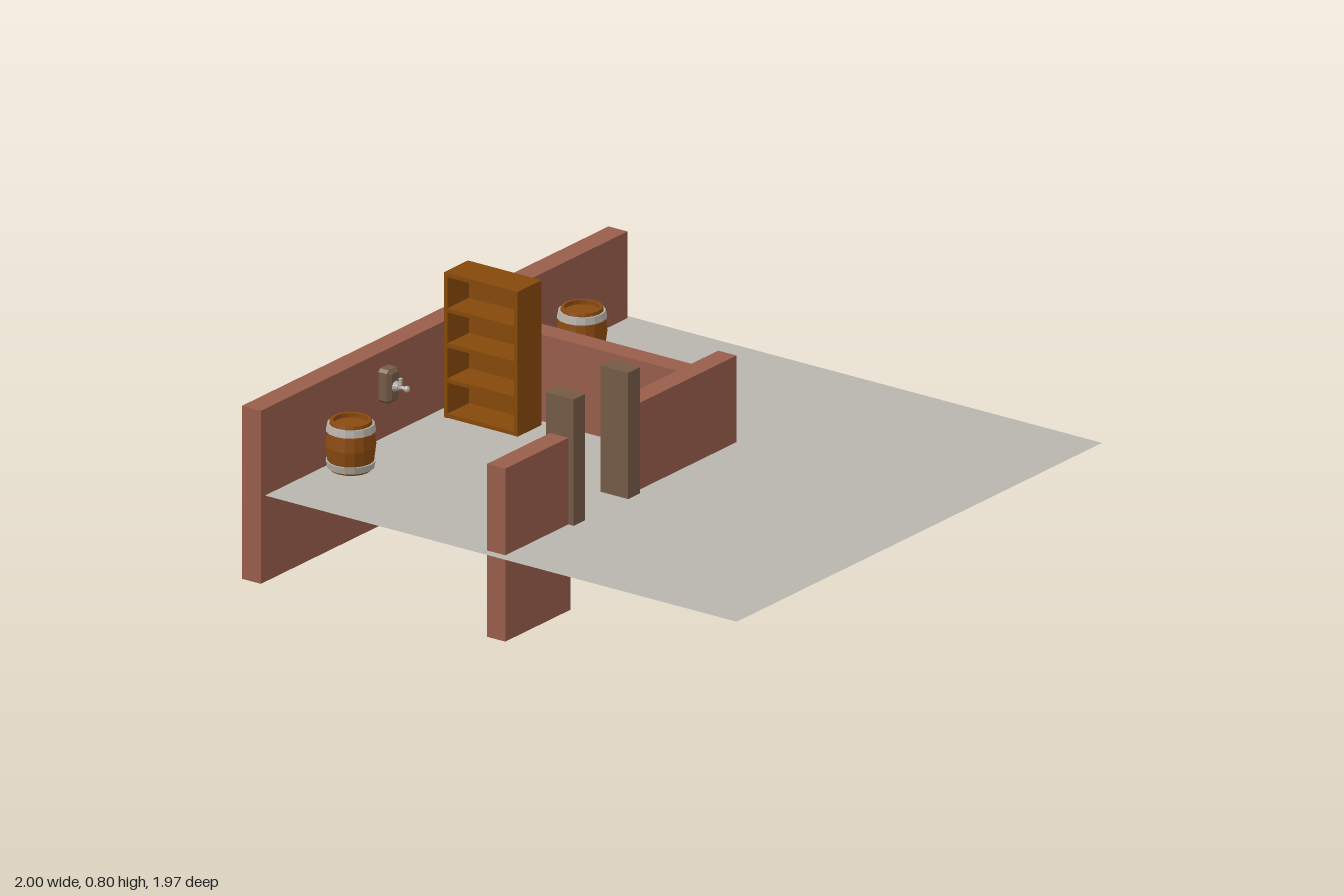
import * as THREE from 'three';

const mat = (name, color, extra = {}) => {
  const m = new THREE.MeshStandardMaterial({ color, flatShading: true, ...extra });
  m.name = name;
  return m;
};

export function createModel() {
  const brick = mat('brick', 0x985d4a);
  const ground = mat('ground', 0xb8b4ae, { side: THREE.DoubleSide });
  const timber = mat('timber', 0x745a46);
  const shelfWood = mat('shelfWood', 0x85490b);
  const barrelWood = mat('barrelWood', 0x8a4a10);
  const steel = mat('steel', 0xb4b0a8);
  const FLOOR = 0.298;

  const root = new THREE.Group();
  root.name = 'room';

  const add = (parent, name, geo, m, x = 0, y = 0, z = 0) => {
    const mesh = new THREE.Mesh(geo, m);
    mesh.name = name;
    mesh.position.set(x, y, z);
    parent.add(mesh);
    return mesh;
  };
  // Box given by its limits on each axis
  const box = (parent, name, m, [x0, x1], [y0, y1], [z0, z1]) =>
    add(parent, name, new THREE.BoxGeometry(x1 - x0, y1 - y0, z1 - z0), m,
      (x0 + x1) / 2, (y0 + y1) / 2, (z0 + z1) / 2);

  // Floor sheet
  const floor = add(root, 'floor', new THREE.PlaneGeometry(1.978, 1.974), ground, 0.011, FLOOR, 0);
  floor.rotation.x = -Math.PI / 2;

  // Walls, running through the floor
  const H = [0, 0.597];
  box(root, 'backWall', brick, [-1, 0.985], H, [-0.977, -0.901]);
  box(root, 'dividingWall', brick, [0.084, 0.161], H, [-0.901, -0.036]);
  box(root, 'frontWallRight', brick, [-0.946, -0.594], H, [-0.036, 0.037]);
  box(root, 'frontWallLeft', brick, [-0.289, 0.306], H, [-0.036, 0.037]);

  // Door posts
  for (const [x0, x1] of [[-0.604, -0.543], [-0.309, -0.246]])
    box(root, 'doorPost', timber, [x0, x1], [0.247, 0.734], [-0.053, 0.058]);

  // Bookcase, open towards -x
  const bookcase = new THREE.Group();
  bookcase.name = 'bookcase';
  root.add(bookcase);
  const X = [-0.075, 0.056], Y = [FLOOR, 0.798], Z = [-0.853, -0.558], T = 0.014;
  box(bookcase, 'backPanel', shelfWood, [X[1] - T, X[1]], Y, Z);
  for (const z of [Z[0], Z[1] - T])
    box(bookcase, 'sidePanel', shelfWood, [X[0], X[1] - T], Y, [z, z + T]);
  for (let i = 0; i < 5; i++) {
    const y = Y[0] + 0.001 + i * (Y[1] - Y[0] - T - 0.001) / 4;
    box(bookcase, 'shelf', shelfWood, [X[0], X[1] - T], [y, y + T], [Z[0] + T, Z[1] - T]);
  }

  // Barrels: bulging body with a recessed lid and two hoops
  const pts = (list) => list.map(([r, y]) => new THREE.Vector2(r, y));
  const bodyGeo = new THREE.LatheGeometry(pts([
    [0, 0.004], [0.068, 0.004], [0.077, 0.04], [0.083, 0.087], [0.077, 0.134],
    [0.068, 0.173], [0.058, 0.173], [0.058, 0.158], [0, 0.158]]), 16);
  const hoopGeo = (y0, y1, r0, r1) => new THREE.LatheGeometry(pts([
    [r0 - 0.01, y0], [r0, y0], [r1, y1], [r1 - 0.01, y1]]), 16);
  const lowHoop = hoopGeo(0.012, 0.036, 0.077, 0.082);
  const highHoop = hoopGeo(0.138, 0.162, 0.082, 0.077);
  for (const x of [-0.632, 0.619]) {
    const barrel = new THREE.Group();
    barrel.name = 'barrel';
    barrel.position.set(x, FLOOR + 0.002, -0.813);
    add(barrel, 'barrelBody', bodyGeo, barrelWood);
    add(barrel, 'lowerHoop', lowHoop, steel);
    add(barrel, 'upperHoop', highHoop, steel);
    root.add(barrel);
  }

  // Wall tap: chamfered wooden mount, metal stem and knob
  const tap = new THREE.Group();
  tap.name = 'wallTap';
  tap.position.set(-0.333, 0.485, -0.901);
  root.add(tap);
  const w = 0.031, h = 0.058, c = 0.01;
  const plate = new THREE.Shape(pts([
    [-w + c, -h], [w - c, -h], [w, -h + c], [w, h - c],
    [w - c, h], [-w + c, h], [-w, h - c], [-w, -h + c]]));
  add(tap, 'mount', new THREE.ExtrudeGeometry(plate, {
    depth: 0.033, bevelEnabled: true, bevelThickness: 0.012, bevelSize: 0.012,
    bevelOffset: -0.012, bevelSegments: 1 }), timber);
  const turned = (name, r0, r1, len, z, y = 0) => {
    const m = add(tap, name, new THREE.CylinderGeometry(r1, r0, len, 10), steel, 0, y, z + len / 2);
    m.rotation.x = Math.PI / 2;
  };
  turned('collar', 0.019, 0.011, 0.016, 0.044);
  turned('stem', 0.007, 0.006, 0.034, 0.058);
  add(tap, 'knob', new THREE.SphereGeometry(0.011, 10, 8), steel, 0, 0, 0.091);
  add(tap, 'spout', new THREE.CylinderGeometry(0.007, 0.007, 0.034, 8), steel, 0, 0.014, 0.066);

  return root;
}
